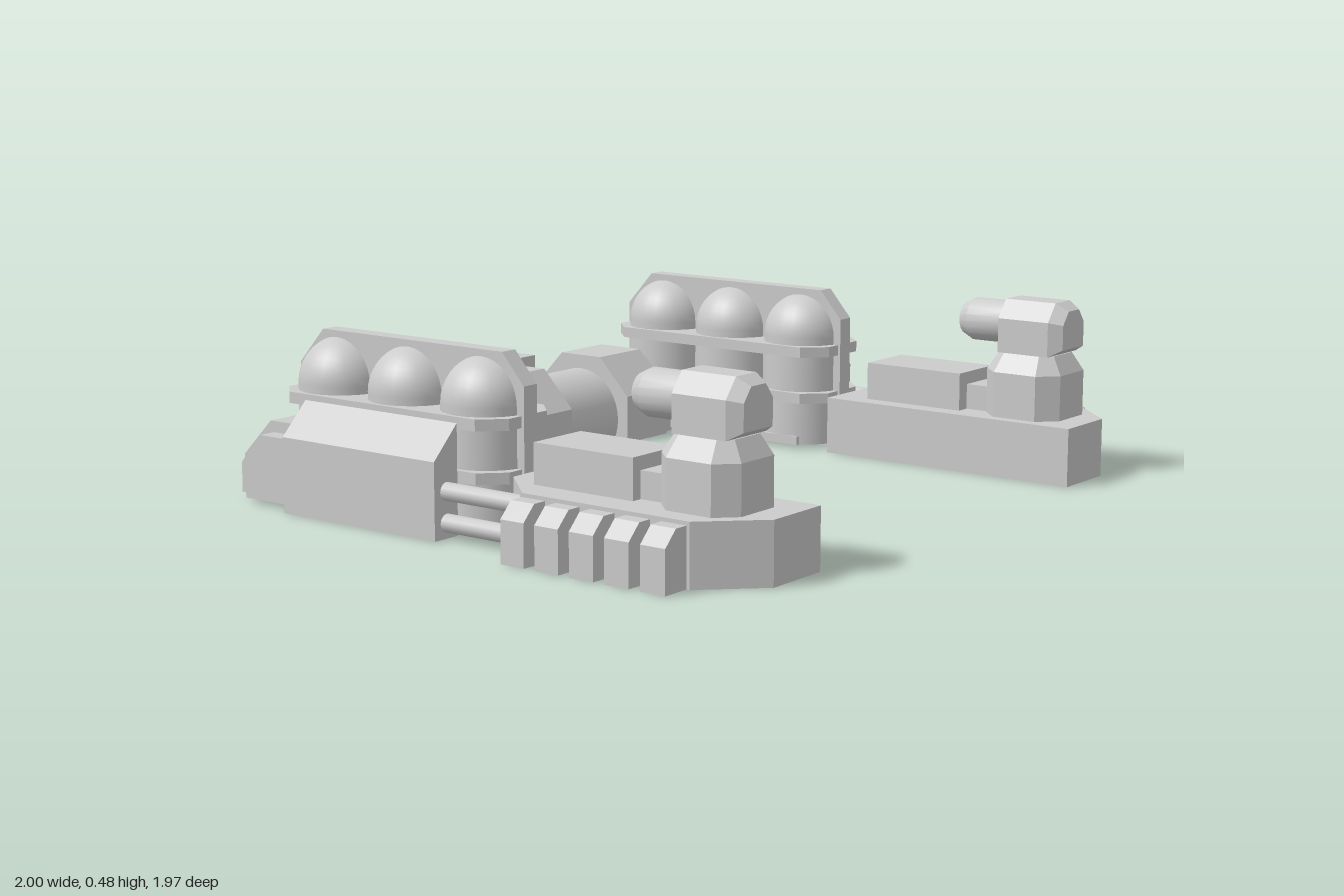
import * as THREE from 'three';
import { toCreasedNormals } from 'three/addons/utils/BufferGeometryUtils.js';
import { ConvexGeometry } from 'three/addons/geometries/ConvexGeometry.js';

const mat = new THREE.MeshStandardMaterial({ color: 0xcccccc, side: THREE.DoubleSide });

function add(parent, name, geo) {
  const mesh = new THREE.Mesh(geo, mat);
  mesh.name = name;
  parent.add(mesh);
  return mesh;
}

// Removes the faces lying on the ground, leaving a hollow shell
function openBottom(geo) {
  const g = geo.index ? geo.toNonIndexed() : geo;
  const p = g.attributes.position, keep = [];
  for (let i = 0; i < p.count; i += 3) {
    if (Math.max(p.getY(i), p.getY(i + 1), p.getY(i + 2)) < 0.001) continue;
    for (let k = i; k < i + 3; k++) keep.push(p.getX(k), p.getY(k), p.getZ(k));
  }
  const out = new THREE.BufferGeometry();
  out.setAttribute('position', new THREE.Float32BufferAttribute(keep, 3));
  out.computeVertexNormals();
  return toCreasedNormals(out, 0.5);
}

// Prism between a and b along an axis: x takes (z, y), y takes (x, z), z takes (x, y)
function prism(parent, name, pts, axis, a, b) {
  const lo = Math.min(a, b), hi = Math.max(a, b);
  const shape = new THREE.Shape(pts.map(p => new THREE.Vector2(p[0], p[1])));
  const geo = new THREE.ExtrudeGeometry(shape, { depth: hi - lo, bevelEnabled: false });
  if (axis === 'x') geo.rotateY(-Math.PI / 2).translate(hi, 0, 0);
  else if (axis === 'y') geo.rotateX(Math.PI / 2).translate(0, hi, 0);
  else geo.translate(0, 0, lo);
  return add(parent, name, openBottom(geo));
}

function box(parent, name, x0, x1, y0, y1, z0, z1) {
  return prism(parent, name, [[x0, z0], [x1, z0], [x1, z1], [x0, z1]], 'y', y0, y1);
}

// Rectangle with cut corners
function cutRect(cx, cz, hx, hz, c) {
  return [[hx, hz - c], [hx - c, hz], [c - hx, hz], [-hx, hz - c],
    [-hx, c - hz], [c - hx, -hz], [hx - c, -hz], [hx, c - hz]].map(p => [cx + p[0], cz + p[1]]);
}

function lathe(pts, segs) {
  return new THREE.LatheGeometry(pts.map(p => new THREE.Vector2(p[0], p[1])), segs);
}

function turret(parent, cx) {
  const g = new THREE.Group();
  g.name = 'turret';
  g.position.x = cx;
  parent.add(g);
  const base = [];
  for (const [y, hx, hz, c] of [[0.16, 0.115, 0.115, 0.05], [0.285, 0.115, 0.115, 0.05], [0.335, 0.08, 0.085, 0.03]])
    for (const [x, z] of cutRect(0, 0.79, hx, hz, c)) base.push(new THREE.Vector3(x, y, z));
  add(g, 'turretBase', new ConvexGeometry(base));
  const head = [];
  for (const [z, s] of [[0.715, 1], [0.87, 1], [0.905, 0.72]])
    for (const [x, y] of [[0.08, -0.07], [0.08, 0.025], [0.04, 0.075]])
      for (const m of [1, -1]) head.push(new THREE.Vector3(m * x * s, 0.405 + y * s, z));
  add(g, 'turretHead', new ConvexGeometry(head));
  const barrel = lathe([[0.06, 0], [0.06, 0.12], [0.045, 0.15], [0.02, 0.15], [0.02, 0.09], [0, 0.09]], 20);
  barrel.rotateX(-Math.PI / 2).translate(0, 0.41, 0.72);
  add(g, 'barrel', toCreasedNormals(barrel, 0.5));
}

function sideAssembly(s) {
  const g = new THREE.Group();
  g.name = s > 0 ? 'leftArm' : 'rightArm';
  const mx = pts => pts.map(p => [s * p[0], p[1]]);

  // Front pod with its deck box, outer ribs and turret
  prism(g, 'frontPod', mx([[0.595, 0.2], [0.79, 0.2], [0.92, 0.34], [0.92, 0.84], [0.785, 0.98], [0.595, 0.98]]), 'y', 0, 0.16);
  box(g, 'deckBox', s * 0.65, s * 0.83, 0.16, 0.265, 0.3, 0.605);
  box(g, 'turretStep', s * 0.69, s * 0.8, 0.16, 0.23, 0.605, 0.69);
  for (let i = 0; i < 5; i++) {
    const z = 0.375 + i * 0.105;
    prism(g, 'rib', mx([[0.915, 0], [1, 0], [1, 0.11], [0.96, 0.15], [0.915, 0.15]]), 'z', z - 0.036, z + 0.036);
  }
  turret(g, s * 0.745);

  // Twin rods joining pod and side armour
  for (const y of [0.04, 0.12]) {
    const rod = new THREE.CapsuleGeometry(0.024, 0.3, 4, 12);
    rod.rotateX(Math.PI / 2).translate(s * 0.88, y, 0.155);
    add(g, 'rod', rod);
  }

  // Side armour with sloping shoulder
  prism(g, 'sideArmour', mx([[0.84, 0], [0.925, 0], [0.925, 0.2], [0.84, 0.285]]), 'z', -0.465, 0.06);

  // Tank row, cradle bands and spine plate
  const cx = s * 0.705;
  const profile = [[0.12, 0.01], [0.12, 0.32]];
  for (let i = 1; i <= 10; i++) {
    const a = i / 10 * Math.PI / 2;
    profile.push([0.12 * Math.cos(a), 0.32 + 0.12 * Math.sin(a)]);
  }
  for (const z of [0.045, -0.205, -0.455]) {
    const tank = lathe(profile, 24);
    tank.translate(cx, 0, z);
    add(g, 'tank', tank);
  }
  for (const y of [0.135, 0.27])
    prism(g, 'cradleBand', cutRect(cx, -0.205, 0.132, 0.382, 0.06), 'y', y, y + 0.03);
  for (const x of [0.585, 0.81]) box(g, 'cradleRail', s * x, s * (x + 0.025), 0.01, 0.035, -0.5, 0.1);
  for (const z of [-0.33, -0.08]) box(g, 'cradleBar', s * 0.585, s * 0.835, 0.01, 0.035, z - 0.015, z + 0.015);
  prism(g, 'spinePlate', [[0.185, 0], [0.185, 0.375], [0.115, 0.455], [-0.505, 0.455], [-0.59, 0.36], [-0.59, 0]],
    'x', s * 0.68, s * 0.73);

  // Rear corner block and raised end cap
  prism(g, 'cornerBlock', [[-0.36, 0], [-0.36, 0.12], [-0.46, 0.22], [-0.58, 0.22], [-0.68, 0.12], [-0.68, 0]],
    'x', s * 0.53, s * 0.855);
  prism(g, 'cornerCap', [[-0.46, 0.03], [-0.46, 0.19], [-0.57, 0.19], [-0.64, 0.11], [-0.64, 0.03]],
    'x', s * 0.85, s * 0.905);
  return g;
}

function rearBridge() {
  const g = new THREE.Group();
  g.name = 'rearBridge';

  // Round beam cut flat at the ground
  const cz = -0.515, cy = 0.065, r = 0.14, start = -Math.asin(cy / r), arc = [];
  for (let i = 0; i <= 24; i++) {
    const a = start + (Math.PI - 2 * start) * i / 24;
    arc.push([cz + r * Math.cos(a), i % 24 ? cy + r * Math.sin(a) : 0]);
  }
  prism(g, 'beam', arc, 'x', -0.54, 0.54);

  // Faceted collars
  const collar = [[0.175, 0.1375], [0.0725, 0.245], [-0.0725, 0.245], [-0.175, 0.1375], [-0.175, 0], [0.175, 0]]
    .map(p => [cz + p[0], p[1]]);
  for (const x of [-0.445, 0, 0.445]) prism(g, 'collar', collar, 'x', x - 0.095, x + 0.095);

  // Rear platform with housings, buffers and cross rail
  prism(g, 'platform', [[-0.5, -0.66], [-0.5, -0.8], [-0.4, -0.9], [0.4, -0.9], [0.5, -0.8], [0.5, -0.66]], 'y', 0, 0.097);
  box(g, 'crossRail', -0.2, 0.2, 0.09, 0.165, -0.835, -0.75);
  for (const s of [1, -1]) {
    box(g, 'housing', s * 0.18, s * 0.37, 0.09, 0.222, -0.875, -0.71);
    prism(g, 'buffer', [[-0.86, 0], [-0.86, 0.19], [-0.925, 0.19], [-0.985, 0.13], [-0.985, 0]], 'x', s * 0.22, s * 0.328);
  }
  return g;
}

export function createModel() {
  const model = new THREE.Group();
  model.name = 'hoverFrame';
  model.add(sideAssembly(1), sideAssembly(-1), rearBridge());
  return model;
}
